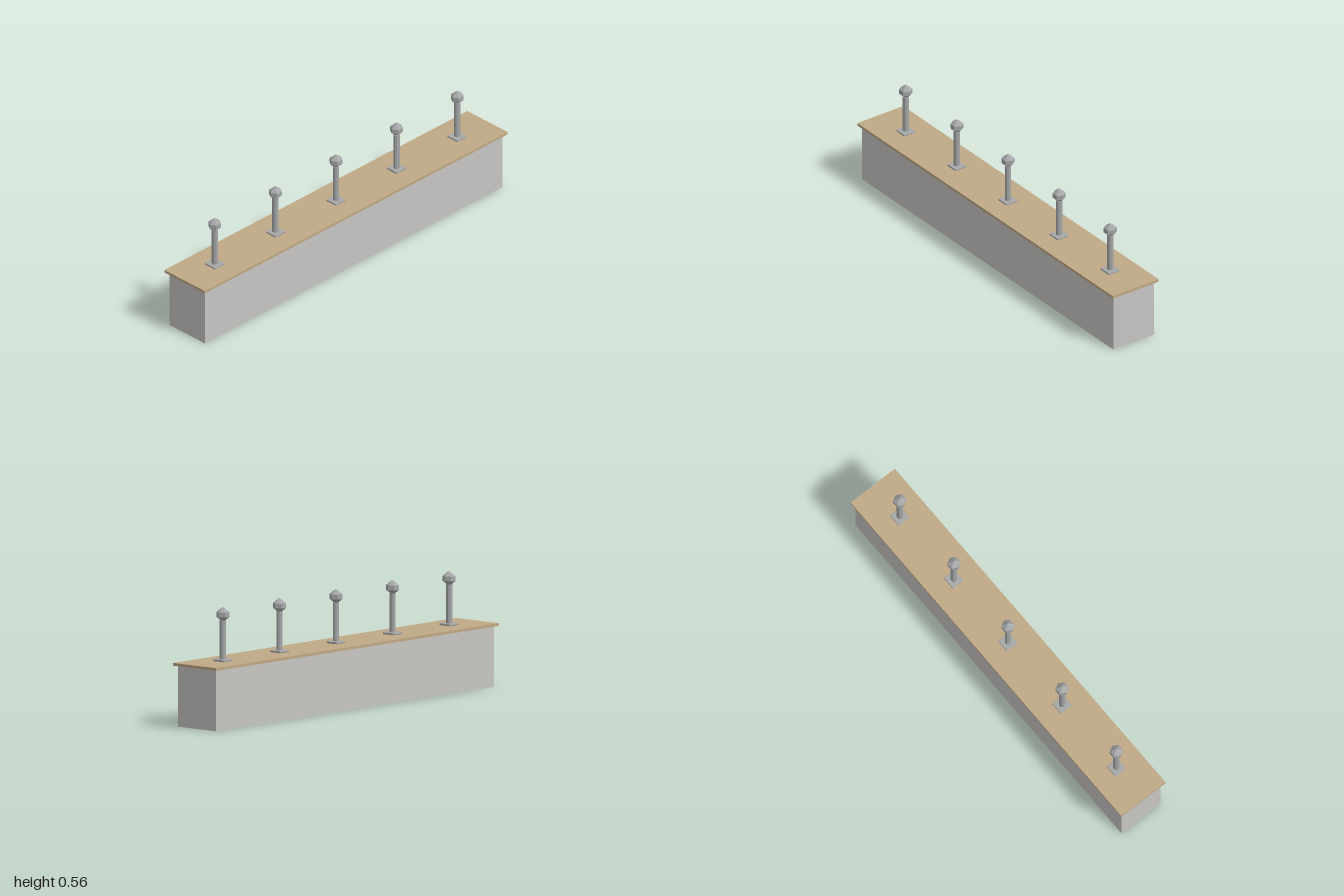
import * as THREE from 'three';
import { RoundedBoxGeometry } from 'three/addons/geometries/RoundedBoxGeometry.js';

const concrete = new THREE.MeshStandardMaterial({ name: 'concrete', color: 0xc8c6c3 });
const sandstone = new THREE.MeshStandardMaterial({ name: 'sandstone', color: 0xbfa985 });
const steel = new THREE.MeshStandardMaterial({ name: 'steel', color: 0xa6a7a8 });

function addMesh(parent, name, geometry, material, y) {
  const mesh = new THREE.Mesh(geometry, material);
  mesh.name = name;
  mesh.position.y = y;
  parent.add(mesh);
  return mesh;
}

// Split vertices so every facet has its own normal
function faceted(geometry) {
  const flat = geometry.toNonIndexed();
  flat.computeVertexNormals();
  return flat;
}

export function createModel() {
  const model = new THREE.Group();
  model.name = 'wallWithPosts';

  // Wall and overhanging coping slab
  addMesh(model, 'wall', new THREE.BoxGeometry(1.966, 0.287, 0.234), concrete, 0.1435);
  addMesh(model, 'coping', new THREE.BoxGeometry(2, 0.013, 0.266), sandstone, 0.2935);

  // Shared post parts: base plate, ten-sided shaft, six-sided pointed finial
  const plate = new RoundedBoxGeometry(0.065, 0.01, 0.065, 2, 0.003);
  const shaft = faceted(new THREE.CylinderGeometry(0.015, 0.015, 0.184, 10));
  const profile = [[0, -0.036], [0.031, -0.0115], [0.031, 0.0115], [0, 0.036]]
    .map(([r, y]) => new THREE.Vector2(r, y));
  const finial = faceted(new THREE.LatheGeometry(profile, 6, Math.PI / 2));

  for (let i = -2; i <= 2; i++) {
    const post = new THREE.Group();
    post.name = 'post';
    post.position.set(i * 0.4, 0.3, 0);
    addMesh(post, 'basePlate', plate, steel, 0.005);
    addMesh(post, 'shaft', shaft, steel, 0.1);
    addMesh(post, 'finial', finial, steel, 0.2195);
    model.add(post);
  }
  return model;
}
